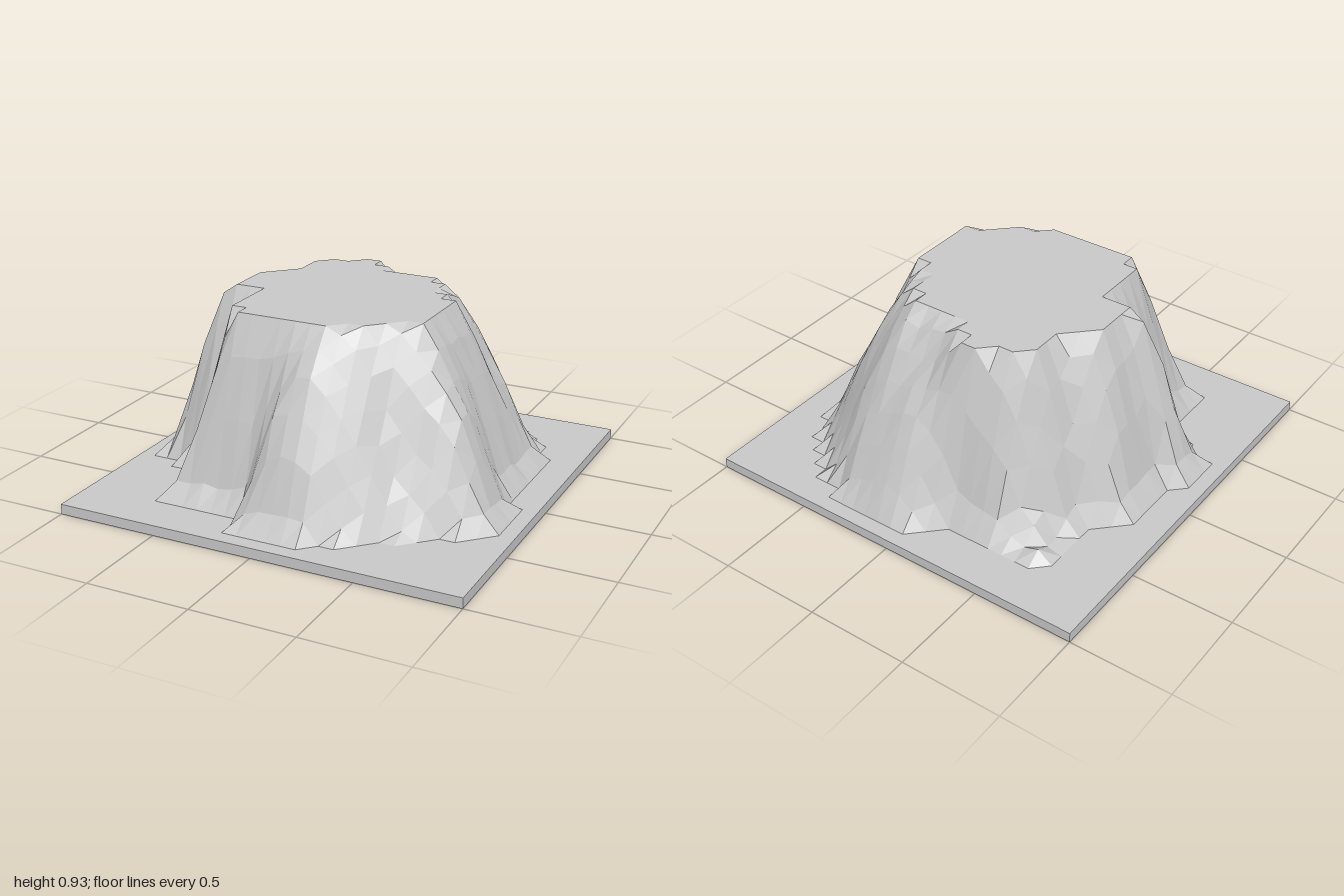
import * as THREE from 'three';

const BASE = 0.05, TOP = 0.925, CELLS = 27;

// Outlines as [x, z]: the flat summit and the foot of the cliffs
const summit = [
  [0.48, 0.06], [0.48, -0.11], [0.41, -0.19], [0.33, -0.34], [0.26, -0.41], [0.04, -0.42],
  [-0.11, -0.56], [-0.19, -0.55], [-0.33, -0.48], [-0.41, -0.38], [-0.41, -0.26], [-0.55, -0.12],
  [-0.56, 0.04], [-0.61, 0.11], [-0.41, 0.11], [-0.41, 0.41], [-0.33, 0.48], [0.11, 0.48],
  [0.26, 0.41], [0.33, 0.34], [0.48, 0.26],
];
const foot = [
  [0.85, 0.19], [0.78, 0.04], [0.78, -0.41], [0.7, -0.56], [0.63, -0.63], [0.56, -0.7],
  [0.48, -0.78], [0.33, -0.86], [0, -0.86], [-0.18, -0.71], [-0.56, -0.71], [-0.63, -0.7],
  [-0.63, -0.41], [-0.78, -0.26], [-0.78, 0.04], [-0.85, 0.11], [-0.85, 0.26], [-0.7, 0.33],
  [-0.56, 0.41], [-0.56, 0.7], [-0.19, 0.7], [-0.11, 0.85], [0.19, 0.85], [0.33, 0.78],
  [0.55, 0.63], [0.78, 0.48], [0.85, 0.41],
];

// Ridges and hollows in the cliffs: [x, z, height, spread]
const bumps = [
  [-0.53, -0.59, -0.25, 0.01], // dip behind a small mound at the corner
  [0.74, 0.33, 0.04, 0.012], // spur
  [0.48, 0.53, -0.1, 0.018], // gully beside the spur
  [0.05, 0.74, 0.08, 0.018], // front buttress
  [0.15, -0.82, 0.08, 0.018], // back buttress
  [0.56, -0.27, -0.08, 0.005], // notch high on the side
];

// Signed distance to an outline, positive outside
function distance(poly, x, z) {
  let best = Infinity, inside = false;
  poly.forEach(([ax, az], i) => {
    const [bx, bz] = poly[(i + 1) % poly.length];
    const dx = bx - ax, dz = bz - az;
    const t = THREE.MathUtils.clamp(((x - ax) * dx + (z - az) * dz) / (dx * dx + dz * dz), 0, 1);
    best = Math.min(best, Math.hypot(x - ax - t * dx, z - az - t * dz));
    if ((az > z) !== (bz > z) && x < ax + (dx * (z - az)) / dz) inside = !inside;
  });
  return inside ? -best : best;
}

function makeRandom(seed) {
  return () => {
    seed = (seed * 16807) % 2147483647;
    return seed / 2147483647;
  };
}

export function createModel() {
  const group = new THREE.Group();
  const stone = new THREE.MeshStandardMaterial({ color: 0xc8c8c8 });
  stone.name = 'stone grey';
  stone.flatShading = true;

  // Square ground slab
  const slab = new THREE.Mesh(new THREE.BoxGeometry(2, BASE, 2), stone);
  slab.name = 'groundSlab';
  slab.position.y = BASE / 2;
  group.add(slab);

  // Mesa: a grid raised between the foot and the summit outlines
  const random = makeRandom(41);
  const geometry = new THREE.PlaneGeometry(2, 2, CELLS, CELLS).rotateX(-Math.PI / 2);
  const pos = geometry.attributes.position;
  for (let i = 0; i < pos.count; i++) {
    const x = pos.getX(i), z = pos.getZ(i), jitter = (random() - 0.5) * 0.03;
    const toTop = distance(summit, x, z), toFoot = -distance(foot, x, z);
    let y = BASE;
    if (toTop < 0.018) y = TOP;
    else if (toFoot > -0.018) {
      const t = toTop / (toTop + Math.max(toFoot, 0) + 0.015);
      y = TOP - 0.84 * Math.pow(t, 1.3) + jitter;
      for (const [bx, bz, height, spread] of bumps) {
        y += height * Math.exp(-((x - bx) ** 2 + (z - bz) ** 2) / spread);
      }
      y = THREE.MathUtils.clamp(y, BASE + 0.02, TOP - 0.01);
    }
    pos.setY(i, y);
  }

  // Leave out the triangles that would lie on the slab
  const index = geometry.index.array, kept = [];
  for (let i = 0; i < index.length; i += 3) {
    const corners = [index[i], index[i + 1], index[i + 2]];
    if (corners.some((v) => pos.getY(v) > BASE + 0.001)) kept.push(...corners);
  }
  geometry.setIndex(kept);
  geometry.computeVertexNormals();
  const mesa = new THREE.Mesh(geometry, stone);
  mesa.name = 'mesa';
  group.add(mesa);

  return group;
}
